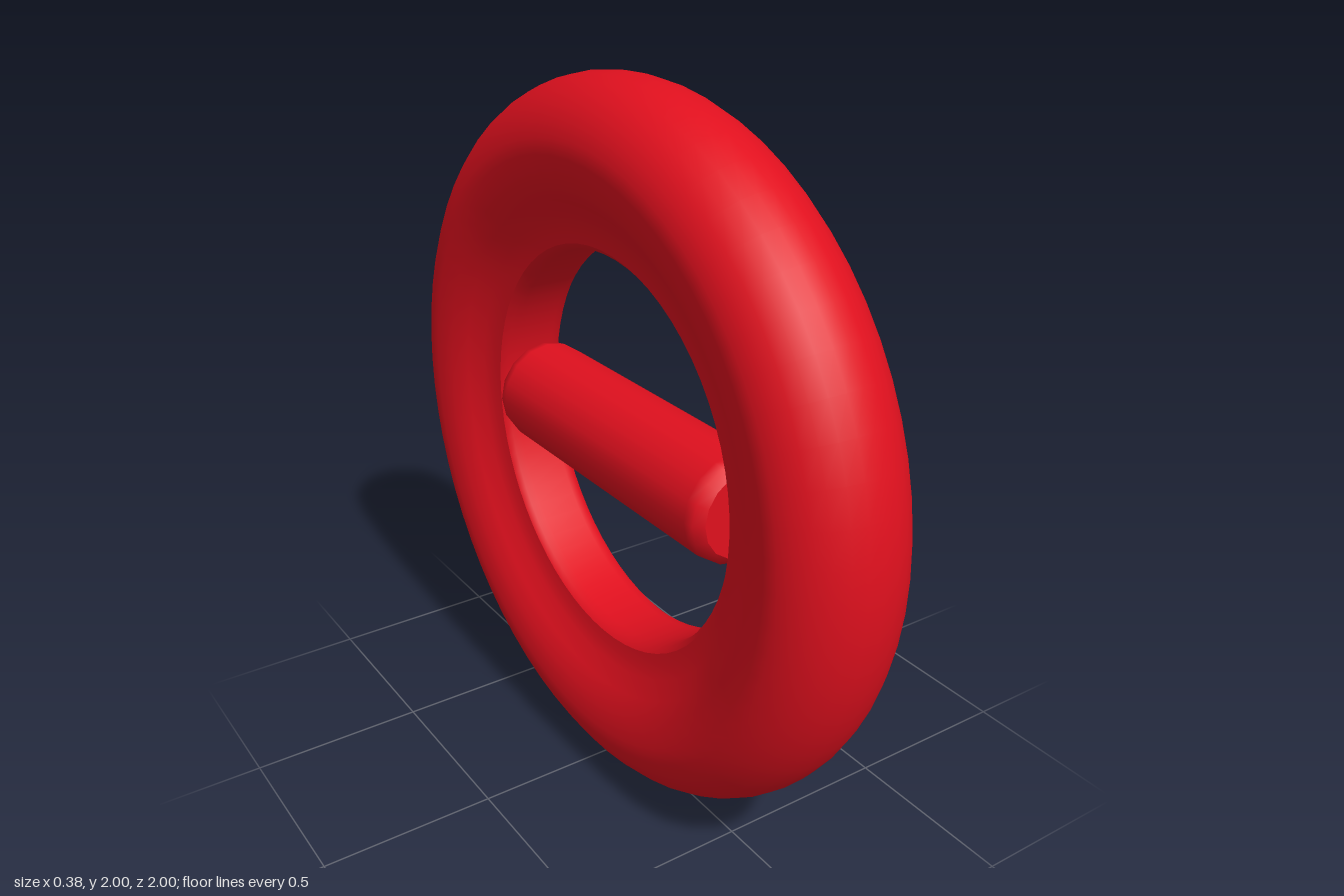
import * as THREE from 'three';

const red = new THREE.MeshStandardMaterial({ color: 0xe0101e });

// Revolve a list of [radius, height] points into a named mesh
function revolve(name, points, segments) {
  const profile = points.map(([r, h]) => new THREE.Vector2(r, h));
  const mesh = new THREE.Mesh(new THREE.LatheGeometry(profile, segments), red);
  mesh.name = name;
  return mesh;
}

// Mirror half a profile across height 0
const mirrored = (half) => half.map(([r, h]) => [r, -h]).reverse();

export function createModel() {
  const model = new THREE.Group();
  model.name = 'ringWithBar';

  // Ring: rounded tread, sidewalls dished in towards the inner rim
  const sidewall = [[0.57, 0.10], [0.60, 0.105], [0.64, 0.117], [0.69, 0.147], [0.74, 0.175]];
  const tread = [];
  for (let i = 0; i <= 14; i++) {
    const a = -Math.PI / 2 + (Math.PI * i) / 14;
    tread.push([0.81 + 0.19 * Math.cos(a), 0.19 * Math.sin(a)]);
  }
  const lower = sidewall.map(([r, h]) => [r, -h]);
  const upper = [...sidewall].reverse();

  const ring = new THREE.Group();
  ring.name = 'ring';
  ring.add(revolve('ringBody', [...lower, ...tread, ...upper], 64));
  // Inner band meets the sidewalls at a crisp edge
  ring.add(revolve('innerBand', [[0.57, 0.10], [0.555, 0.085], [0.55, 0.06],
    [0.55, -0.06], [0.555, -0.085], [0.57, -0.10]], 64));
  ring.rotation.z = -Math.PI / 2;
  ring.position.y = 1;
  model.add(ring);

  // Centre bar with softened ends, lying front to back
  const end = [[0.15, 0.45], [0.145, 0.48], [0.12, 0.5]];
  const bar = new THREE.Group();
  bar.name = 'centreBar';
  bar.add(revolve('barBody', [...mirrored(end), ...end], 16));
  for (const s of [-1, 1]) {
    const cap = new THREE.Mesh(new THREE.CircleGeometry(0.12, 16), red);
    cap.name = 'barEnd';
    cap.position.y = 0.5 * s;
    cap.rotation.x = (-Math.PI / 2) * s;
    bar.add(cap);
  }
  bar.rotation.x = Math.PI / 2;
  bar.position.y = 1;
  model.add(bar);

  return model;
}
